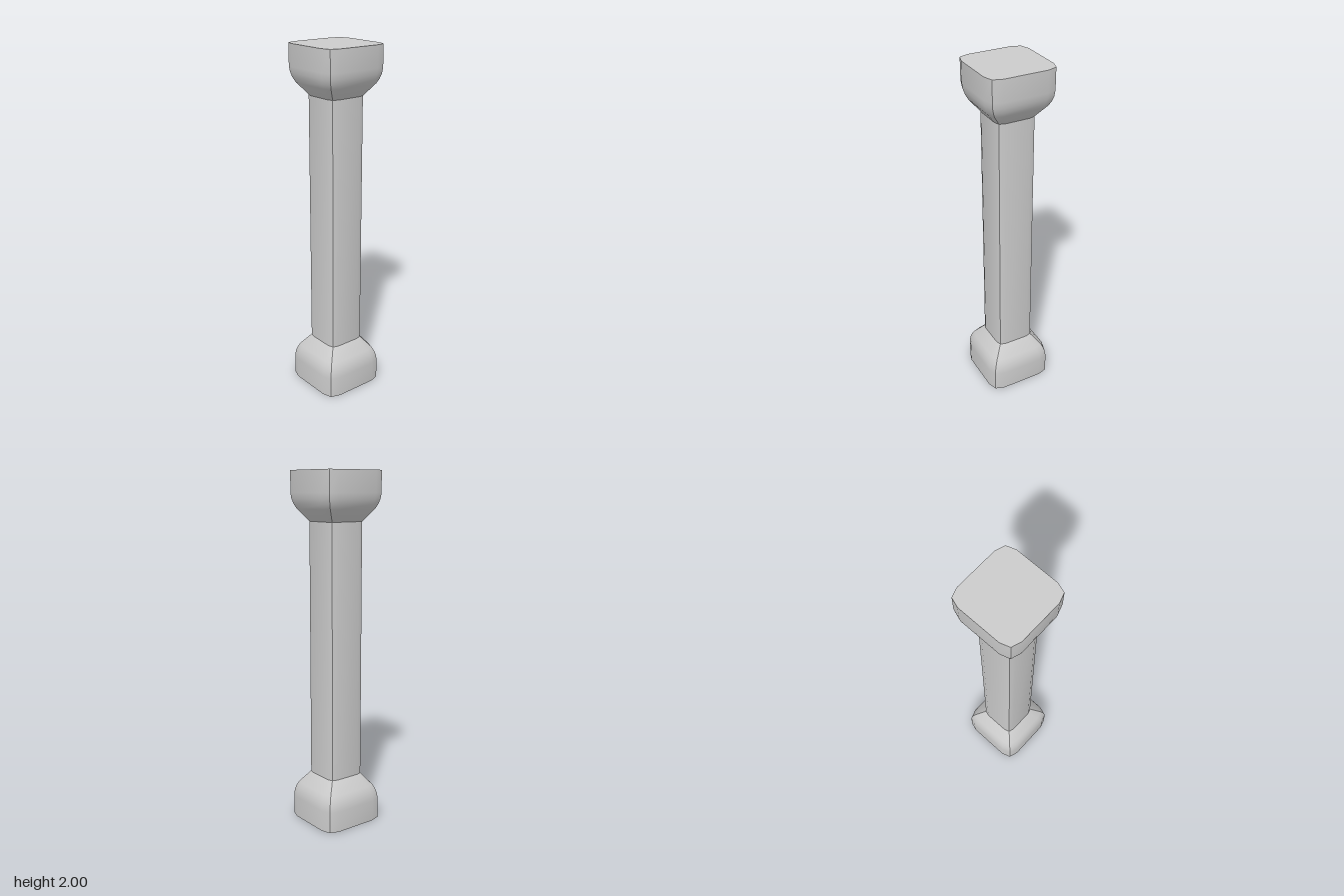
import * as THREE from 'three';
import { toCreasedNormals } from 'three/addons/utils/BufferGeometryUtils.js';

// Squarish cross-section with bowed sides, half-width 1: one corner, turned four times
const corner = [[1, 0.64], [0.91, 0.91], [0.64, 1]];
const section = [];
for (let q = 0; q < 4; q++) {
  for (const [x, z] of corner) {
    let p = [x, z];
    for (let k = 0; k < q; k++) p = [-p[1], p[0]];
    section.push(p);
  }
}

// Loft the section through [halfWidth, y] rings; optionally close the bottom
function loft(rings, closeBottom) {
  const n = section.length;
  const pos = [];
  const index = [];
  for (const [w, y] of rings) {
    for (const [x, z] of section) pos.push(x * w, y, z * w);
  }
  for (let r = 0; r < rings.length - 1; r++) {
    for (let i = 0; i < n; i++) {
      const a = r * n + i;
      const b = r * n + (i + 1) % n;
      index.push(a, a + n, b, b, a + n, b + n);
    }
  }
  if (closeBottom) {
    const c = pos.length / 3;
    pos.push(0, rings[0][1], 0);
    for (let i = 0; i < n; i++) index.push(c, i, (i + 1) % n);
  }
  const geo = new THREE.BufferGeometry();
  geo.setAttribute('position', new THREE.Float32BufferAttribute(pos, 3));
  geo.setIndex(index);
  return toCreasedNormals(geo, THREE.MathUtils.degToRad(30));
}

export function createModel() {
  const group = new THREE.Group();
  group.name = 'column';
  const material = new THREE.MeshStandardMaterial({ color: 0xcccccc });
  const add = (name, geo) => {
    const mesh = new THREE.Mesh(geo, material);
    mesh.name = name;
    group.add(mesh);
    return mesh;
  };

  // Flared end block, used upright as the base and upside down as the capital
  const endGeo = loft([
    [0.194, 0], [0.194, 0.12], [0.19, 0.152], [0.181, 0.18], [0.168, 0.205], [0.113, 0.273],
  ], true);
  add('base', endGeo);
  const capital = add('capital', endGeo);
  capital.rotation.x = Math.PI;
  capital.position.y = 2;

  // Straight shaft between the end blocks
  add('shaft', loft([[0.113, 0.273], [0.113, 1.727]], false));

  return group;
}
